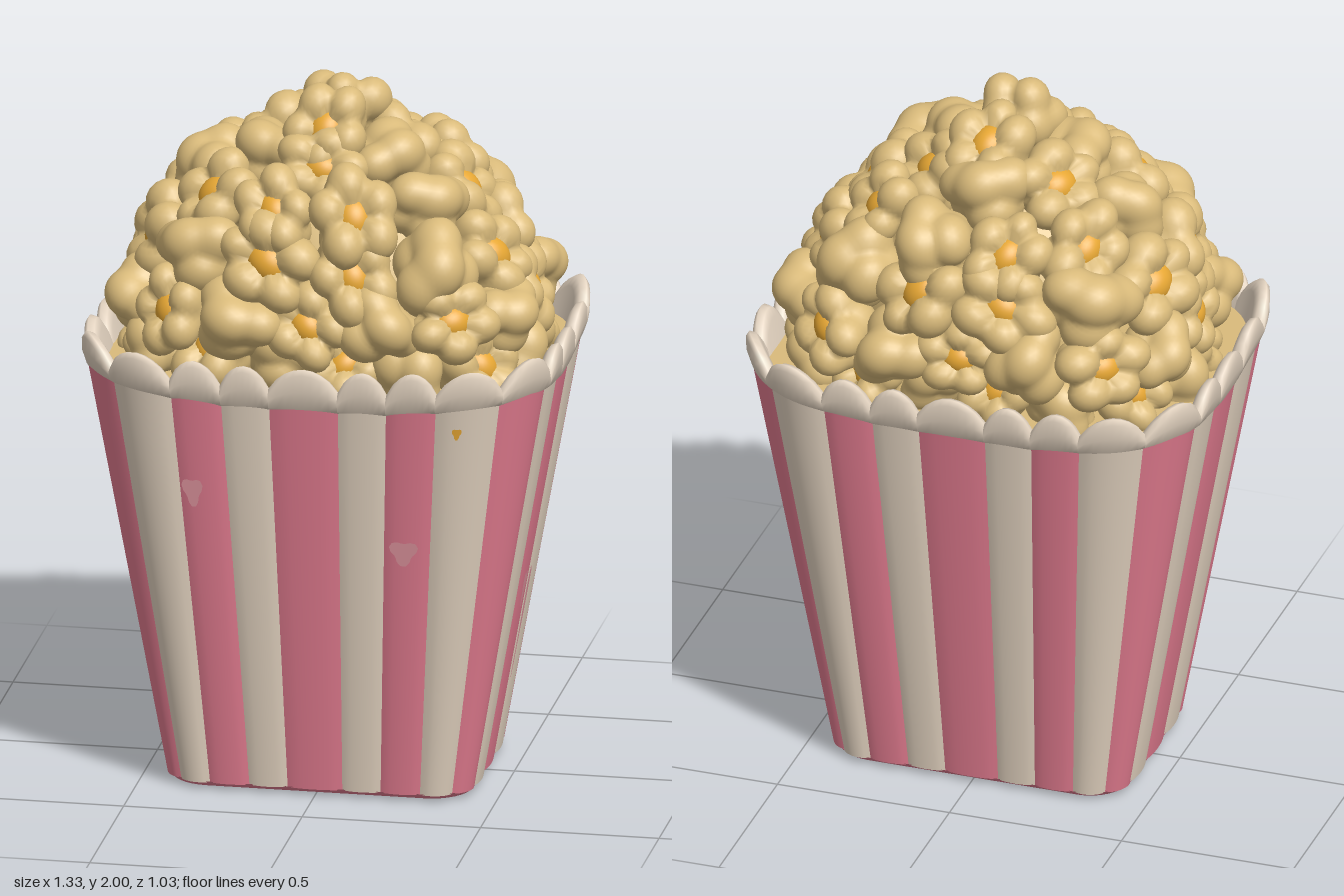
import * as THREE from 'three';
import { mergeGeometries, mergeVertices } from 'three/addons/utils/BufferGeometryUtils.js';

const material = (name, color, side = THREE.FrontSide) => {
  const m = new THREE.MeshStandardMaterial({ color, side });
  m.name = name;
  return m;
};

let seed = 7;
const rand = () => {
  seed = (seed * 16807) % 2147483647;
  return seed / 2147483647;
};

// Surface from a function of u (to the right) and v (upwards), seen from outside
function grid(fn, nu, nv) {
  const pos = [], idx = [];
  for (let j = 0; j <= nv; j++)
    for (let i = 0; i <= nu; i++) pos.push(...fn(i / nu, j / nv, j));
  for (let j = 0; j < nv; j++)
    for (let i = 0; i < nu; i++) {
      const a = j * (nu + 1) + i, b = a + 1, c = a + nu + 1, d = c + 1;
      idx.push(a, b, d, a, d, c);
    }
  const g = new THREE.BufferGeometry();
  g.setAttribute('position', new THREE.Float32BufferAttribute(pos, 3));
  g.setIndex(idx);
  g.computeVertexNormals();
  return g;
}

// Point on the tapered rounded-rectangle wall; t runs 0..12, three per quadrant
function wall(t, y, off = 0) {
  t = ((t % 12) + 12) % 12;
  const q = Math.floor(t / 3);
  const s = [t, 6 - t, t - 6, 12 - t][q];
  const sx = q < 2 ? 1 : -1, sz = q === 0 || q === 3 ? 1 : -1;
  const w = 0.425 + 0.178 * y, d = 0.31 + 0.147 * y, r = 0.12 + 0.11 * y;
  const ang = THREE.MathUtils.clamp(s - 1, 0, 1) * Math.PI / 2;
  const x = (w - r) * Math.min(s, 1) + (r + off) * Math.sin(ang);
  const z = (d - r) * Math.min(3 - s, 1) + (r + off) * Math.cos(ang);
  return [sx * x, y, sz * z];
}

// How close t is to a corner (0..1), used to lift the rim there
const cornerLift = (t) => {
  const s = ((t % 6) + 6) % 6;
  return Math.max(0, 1 - Math.abs(Math.min(s, 6 - s) - 1.65) / 1.1);
};

// Stripe borders around the tub, mirrored into all four quadrants
const quarter = [0.25, 0.6, 0.96, 1.42, 1.92, 2.6];
const back = [...quarter].reverse();
const borders = [...quarter, ...back.map((b) => 6 - b), ...quarter.map((b) => 6 + b), ...back.map((b) => 12 - b), 12.25];

function addTub(group, cream, pink, faded, amber) {
  const stripes = [[], []], scallops = [];
  for (let i = 0; i < 24; i++) {
    const t0 = borders[i], dt = borders[i + 1] - t0;
    // Slightly padded stripe
    stripes[i % 2].push(grid((u, v) => {
      const t = t0 + u * dt;
      const y = 0.018 + v * (1.169 + 0.045 * cornerLift(t));
      return wall(t, y, 0.011 * Math.sin(Math.PI * u) ** 0.6 - 0.003);
    }, 8, 8));
    // Rounded rim scallop, from the outer face over the lip to the inside
    scallops.push(grid((u, v, j) => {
      const t = t0 + u * dt, lift = cornerLift(t), bump = Math.sin(Math.PI * u) ** 0.75;
      const low = 1.165 + 0.045 * lift, top = 1.23 + 0.03 * lift + 0.065 * bump;
      const y = [low, low + 0.012, (low + top) / 2, top - 0.015, top, top - 0.006, top - 0.03, 1.1][j];
      const off = [-0.005, 0.01, 0.013 + 0.003 * bump, 0.01, -0.002, -0.02, -0.032, -0.04][j];
      return wall(t, y, off);
    }, 8, 7));
  }
  const add = (name, geo, mat) => {
    const m = new THREE.Mesh(geo, mat);
    m.name = name;
    group.add(m);
    return m;
  };
  add('creamStripes', mergeGeometries(stripes[0]), cream);
  add('pinkStripes', mergeGeometries(stripes[1]), pink);
  add('scallopedRim', mergeGeometries(scallops), cream);

  // Base with a rounded lower edge
  add('base', grid((u, v, j) => {
    const y = [0, 0, 0.006, 0.021][j], off = [0, -0.03, -0.008, 0.002][j];
    const p = wall(u * 12, y, off);
    return j === 0 ? [0, 0, 0] : p;
  }, 96, 3), pink);

  // Worn patch on the underside
  const worn = new THREE.Shape();
  for (let i = 0; i < 24; i++) {
    const a = i / 24 * Math.PI * 2, k = 1 + 0.14 * Math.sin(3 * a) + 0.1 * Math.cos(5 * a);
    worn[i ? 'lineTo' : 'moveTo'](0.27 * k * Math.cos(a), 0.085 * k * Math.sin(a));
  }
  const patch = add('wornBasePatch', new THREE.ShapeGeometry(worn), cream);
  patch.rotation.set(Math.PI / 2, 0, 0.4);
  patch.position.set(0.08, -0.002, -0.13);

  // Faint smudges on the wall: position t, height, half width in t, half height
  const smudge = (name, t, y, dt, dy, mat) => add(name, grid((u, v) => {
    const a = u * Math.PI * 2, k = (1 - v) * (1 + 0.25 * Math.sin(3 * a));
    return wall(t + dt * k * Math.cos(a), y + dy * k * Math.sin(a), 0.012);
  }, 18, 2), mat);
  smudge('smudge', 0.76, 0.76, 0.1, 0.035, faded);
  smudge('smudge', 11.14, 0.91, 0.07, 0.04, faded);
  smudge('smudge', 3.16, 0.45, 0.07, 0.16, faded);
  smudge('smudge', 2.8, 0.55, 0.1, 0.05, faded);
  smudge('butterSpot', 1.12, 1.13, 0.03, 0.016, amber);
}

// Lumpy kernel: the softly blended hull of several spheres seen from the centre
function kernelGeometry(lobes, base) {
  let g = new THREE.IcosahedronGeometry(1, 8);
  g.deleteAttribute('normal');
  g.deleteAttribute('uv');
  g = mergeVertices(g, 1e-4);
  const p = g.attributes.position, v = new THREE.Vector3();
  for (let i = 0; i < p.count; i++) {
    v.fromBufferAttribute(p, i).normalize();
    let sum = 0;
    for (const [c, r] of lobes) {
      const b = v.dot(c), disc = b * b - c.lengthSq() + r * r;
      sum += (disc > 0 ? Math.max(base, b + Math.sqrt(disc)) : base) ** 12;
    }
    const far = sum ** (1 / 12);
    p.setXYZ(i, v.x * far, v.y * far, v.z * far);
  }
  g.computeVertexNormals();
  return g;
}

const polar = (d, theta, phi) => new THREE.Vector3().setFromSphericalCoords(d, theta, phi);

// Popped kernel with a ring of lobes round an opening
function openKernel() {
  const lobes = [];
  for (let i = 0; i < 5; i++) lobes.push([polar(0.63, 1.2 + 0.14 * rand(), i * 1.2566 + 0.3 * rand()), 0.38 + 0.08 * rand()]);
  for (let i = 0; i < 3; i++) lobes.push([polar(0.45, 2.1, i * 2.1 + 0.4), 0.5]);
  return kernelGeometry(lobes, 0.34);
}

// Fully puffed kernel without an opening
function closedKernel() {
  const lobes = [[polar(0.4, 0.5 * rand(), 1), 0.56]];
  for (let i = 0; i < 3; i++) lobes.push([polar(0.5, 1.2 + 0.4 * rand(), i * 2.1 + 0.6 * rand()), 0.46 + 0.1 * rand()]);
  for (let i = 0; i < 3; i++) lobes.push([polar(0.45, 2.3, i * 2.1 + 1), 0.48]);
  return kernelGeometry(lobes, 0.5);
}

function addPopcorn(group, corn, amber) {
  const open = [openKernel(), openKernel(), openKernel()];
  const closed = [closedKernel(), closedKernel(), closedKernel()];
  const heartGeo = new THREE.SphereGeometry(0.48, 14, 6, 0, Math.PI * 2, 0, 0.9);
  const up = new THREE.Vector3(0, 1, 0);
  let n = 0;

  function kernel(x, y, z, dir, size, isOpen) {
    const k = new THREE.Group();
    k.name = 'popcornKernel';
    const puff = new THREE.Mesh((isOpen ? open : closed)[n++ % 3], corn);
    puff.name = 'puff';
    k.add(puff);
    if (isOpen) {
      const heart = new THREE.Mesh(heartGeo, amber);
      heart.name = 'kernelHeart';
      k.add(heart);
    }
    k.position.set(x, y, z);
    k.quaternion.setFromUnitVectors(up, dir.normalize());
    k.rotateY(rand() * 6.28);
    k.scale.set(size * 0.92, size, size * 1.08);
    group.add(k);
  }

  // Rings: height, half width, half depth, squareness, count, phase, upward tilt, size
  const rings = [
    [1.27, 0.5, 0.35, 0.55, 16, 0.5, 0.6, 0.118],
    [1.385, 0.515, 0.4, 0.62, 16, 0, 0.25, 0.124],
    [1.54, 0.45, 0.37, 0.75, 12, 0.5, 0.45, 0.136],
    [1.68, 0.34, 0.325, 0.9, 10, 0.5, 0.6, 0.13],
    [1.77, 0.19, 0.19, 1, 6, 0, 0.8, 0.13],
  ];
  rings.forEach(([y, w, d, power, count, phase, tilt, size], ring) => {
    const bend = (v) => Math.sign(v) * Math.abs(v) ** power;
    const path = new THREE.CatmullRomCurve3(Array.from({ length: 48 }, (_, i) => {
      const a = i / 48 * Math.PI * 2;
      return new THREE.Vector3(w * bend(Math.sin(a)), y, d * bend(Math.cos(a)));
    }), true);
    for (let i = 0; i < count; i++) {
      const p = path.getPointAt((i + phase) / count);
      const dir = new THREE.Vector3(p.x / w + 0.3 * (rand() - 0.5), tilt + 0.3 * (rand() - 0.5), p.z / d);
      const isOpen = ring === 2 || ring === 3 ? i % 3 !== 1 : i % 2 === 0;
      kernel(p.x, y + 0.04 * (rand() - 0.5), p.z, dir, size * (0.93 + 0.16 * rand()), isOpen);
    }
  });
  // Peak
  kernel(0, 1.865, 0.12, new THREE.Vector3(0, 0.6, 1), 0.128, true);
  kernel(0.02, 1.87, -0.09, new THREE.Vector3(0.1, 1, -0.6), 0.132, true);

  // Filling under the outer kernels
  const core = new THREE.Mesh(new THREE.SphereGeometry(1, 32, 20), corn);
  core.name = 'popcornCore';
  core.scale.set(0.44, 0.54, 0.34);
  core.position.y = 1.24;
  group.add(core);
  const bed = new THREE.Mesh(grid((u, v, j) => (j ? [0, 1.2, 0] : wall(u * 12, 1.2, -0.025)), 72, 1), corn);
  bed.name = 'popcornBed';
  group.add(bed);
}

export function createModel() {
  const model = new THREE.Group();
  model.name = 'popcornTub';
  const cream = material('cream', 0xe4d4c1, THREE.DoubleSide);
  const pink = material('pink', 0xe37c90, THREE.DoubleSide);
  const faded = material('fadedPink', 0xe0959f, THREE.DoubleSide);
  const corn = material('popcorn', 0xdabb7b);
  const amber = material('amber', 0xe8a834, THREE.DoubleSide);

  const tub = new THREE.Group();
  tub.name = 'tub';
  addTub(tub, cream, pink, faded, amber);
  const popcorn = new THREE.Group();
  popcorn.name = 'popcorn';
  addPopcorn(popcorn, corn, amber);
  model.add(tub, popcorn);
  return model;
}
